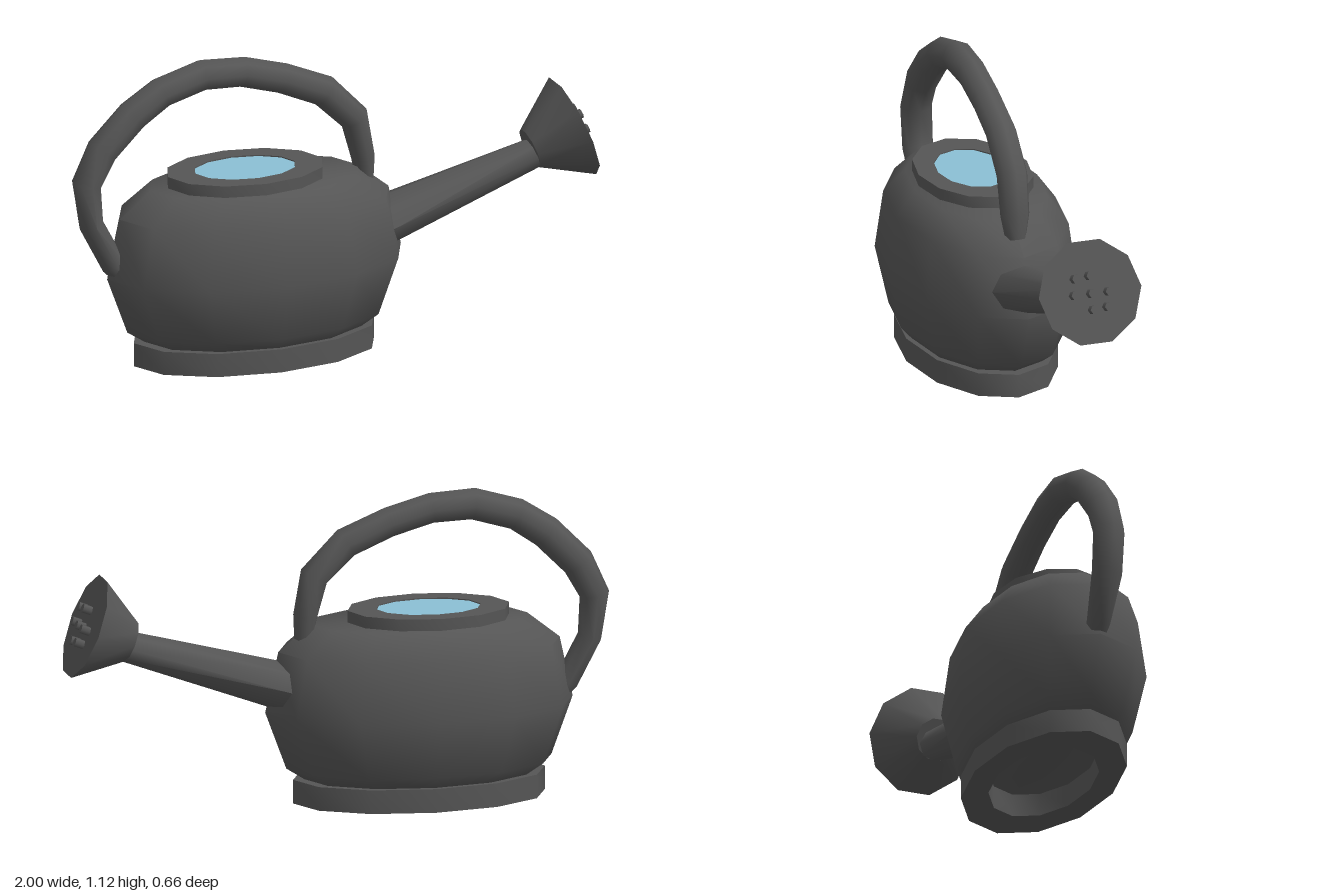
import * as THREE from 'three';
import { toCreasedNormals } from 'three/addons/utils/BufferGeometryUtils.js';

// Sweep a ring along stations [x, y, radius, zRadius] lying in the z = 0 plane, with closed ends
function sweep(stations, sides, phase = 0) {
  const pos = [], idx = [], n = stations.length;
  stations.forEach(([x, y, r, rz = r], i) => {
    const a = stations[Math.max(i - 1, 0)], b = stations[Math.min(i + 1, n - 1)];
    const len = Math.hypot(b[0] - a[0], b[1] - a[1]);
    const tx = (b[0] - a[0]) / len, ty = (b[1] - a[1]) / len;
    for (let j = 0; j < sides; j++) {
      const t = phase + (j / sides) * Math.PI * 2, c = Math.cos(t) * r;
      pos.push(x - ty * c, y + tx * c, Math.sin(t) * rz);
    }
  });
  const start = n * sides, end = start + 1, last = (n - 1) * sides;
  pos.push(stations[0][0], stations[0][1], 0, stations[n - 1][0], stations[n - 1][1], 0);
  for (let j = 0; j < sides; j++) {
    const k = (j + 1) % sides;
    for (let i = 0; i < n - 1; i++) {
      const p = i * sides, q = p + sides;
      idx.push(p + j, p + k, q + j, p + k, q + k, q + j);
    }
    idx.push(start, k, j, end, last + j, last + k);
  }
  const g = new THREE.BufferGeometry();
  g.setAttribute('position', new THREE.Float32BufferAttribute(pos, 3));
  g.setIndex(idx);
  return toCreasedNormals(g, 0.95);
}

// Twelve-sided oval turning: profile in x radii, flattened in z
function oval(profile, squash, crease) {
  const g = new THREE.LatheGeometry(profile.map(p => new THREE.Vector2(...p)), 12);
  g.scale(1, 1, squash);
  return crease ? toCreasedNormals(g, crease) : g;
}

const ring = (outer, inner, y0, y1) =>
  [[outer, y0], [outer, y1], [inner, y1], [inner, y0], [outer, y0]];

export function createModel() {
  const model = new THREE.Group();
  model.name = 'wateringCan';
  const metal = new THREE.MeshStandardMaterial({ name: 'darkGrey', color: 0x555555 });
  const blue = new THREE.MeshStandardMaterial({ name: 'waterBlue', color: 0x8abfd4 });

  const add = (name, geometry, material, x = 0, y = 0, z = 0) => {
    const mesh = new THREE.Mesh(geometry, material);
    mesh.name = name;
    mesh.position.set(x, y, z);
    model.add(mesh);
    return mesh;
  };

  // Rounded oval body with closed top and bottom
  add('body', oval([[0, 0.085], [0.42, 0.085], [0.49, 0.13], [0.568, 0.34],
    [0.52, 0.56], [0.40, 0.655], [0, 0.655]], 0.58, 0.95), metal, -0.3);

  // Foot ring, open underneath
  add('footRing', oval(ring(0.465, 0.31, 0, 0.087), 0.57, 1.2), metal, -0.3);

  // Filling opening with water
  add('rim', oval(ring(0.298, 0.192, 0.64, 0.698), 0.69, 1.2), metal, -0.335);
  const surface = new THREE.CircleGeometry(0.194, 12);
  surface.rotateX(-Math.PI / 2);
  surface.scale(1, 1, 0.67);
  add('water', surface, blue, -0.335, 0.694);

  // Arched handle, thinner where it joins the body
  add('handle', sweep([
    [-0.80, 0.34, 0.035], [-0.845, 0.395, 0.045], [-0.93, 0.555, 0.045, 0.058],
    [-0.948, 0.71, 0.055, 0.06], [-0.888, 0.83, 0.06], [-0.77, 0.948, 0.06],
    [-0.66, 1.02, 0.058], [-0.50, 1.067, 0.058], [-0.345, 1.06, 0.056],
    [-0.19, 1.017, 0.056], [-0.03, 0.95, 0.058], [0.088, 0.833, 0.055, 0.058],
    [0.12, 0.69, 0.045, 0.055], [0.13, 0.58, 0.03, 0.035],
  ], 8), metal);

  // Tapered spout
  add('spout', sweep([[0.12, 0.41, 0.09, 0.115], [0.22, 0.44, 0.087, 0.112],
    [0.80, 0.62, 0.056, 0.06]], 8), metal);

  // Flared rose
  add('rose', sweep([[0.768, 0.633, 0.077, 0.077], [0.933, 0.697, 0.195, 0.195]],
    10, Math.PI / 10), metal);

  // Small nozzles on the rose face
  const tilt = Math.atan2(0.064, 0.165);
  const nozzle = new THREE.CylinderGeometry(0.017, 0.017, 0.05, 6);
  nozzle.rotateZ(tilt - Math.PI / 2);
  [[0.70, 0], [0.70, 0.065], [0.70, -0.065], [0.755, 0.055], [0.76, 0],
    [0.645, 0], [0.65, -0.055]].forEach(([y, z]) => {
    const yc = y - 0.004;
    add('nozzle', nozzle, metal, 0.943 - (yc - 0.697) * Math.tan(tilt), yc, z);
  });

  return model;
}
